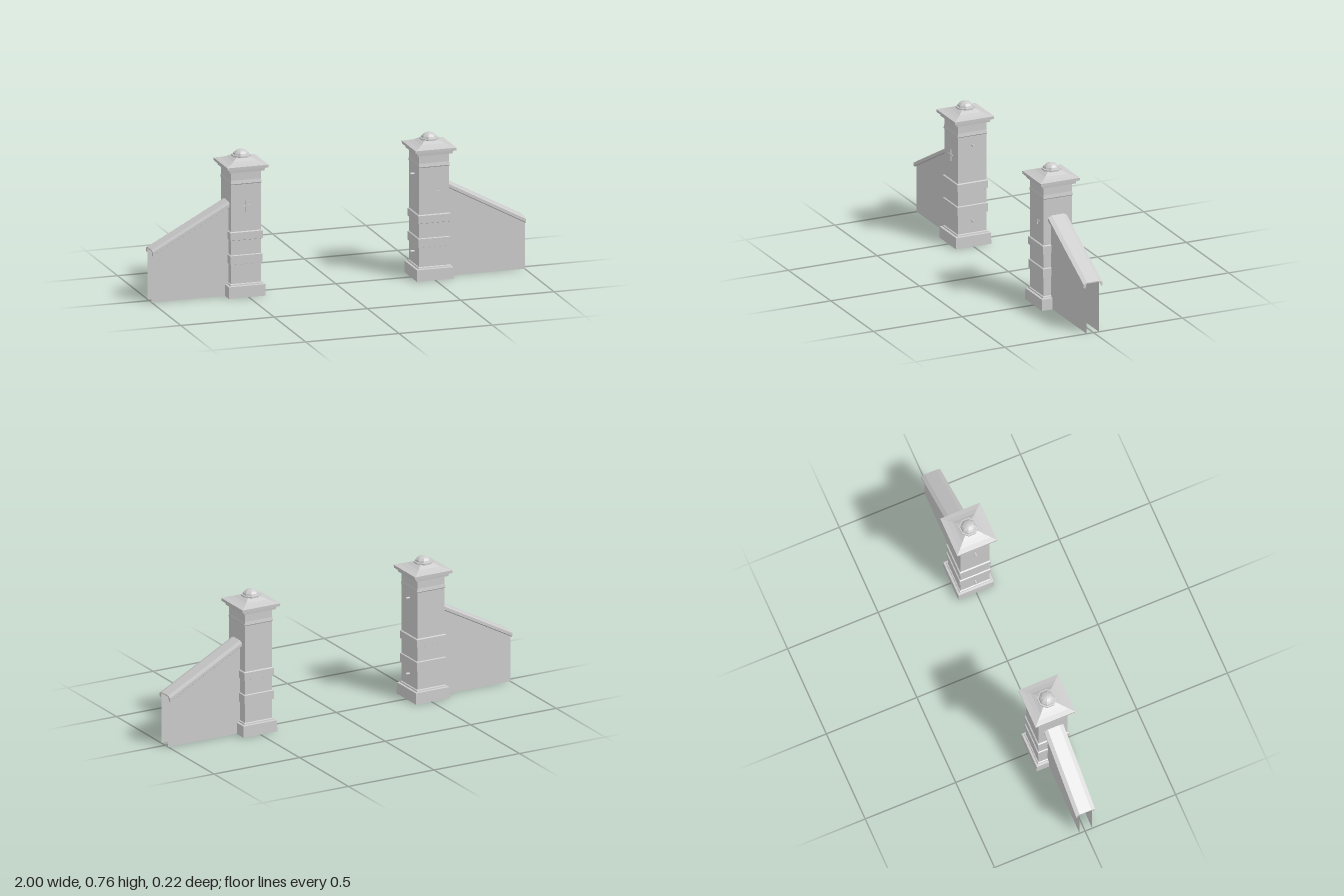
import * as THREE from 'three';

const stone = new THREE.MeshStandardMaterial({ color: 0xcccccc, flatShading: true, side: THREE.DoubleSide });

function add(parent, name, geometry, x = 0, y = 0, z = 0) {
  const mesh = new THREE.Mesh(geometry, stone);
  mesh.name = name;
  mesh.position.set(x, y, z);
  parent.add(mesh);
  return mesh;
}

// Profile of [half width, height] pairs swept round with flat sides
function turned(profile, sides) {
  const k = 1 / Math.cos(Math.PI / sides);
  const points = profile.map(([r, y]) => new THREE.Vector2(r * k, y));
  return new THREE.LatheGeometry(points, sides, Math.PI / sides);
}

// Lower end of a sloping part to its upper end: height lost per unit of x
const SLOPE = 0.536, INNER = 0.57, OUTER = 1;

function createPier() {
  const pier = new THREE.Group();
  pier.name = 'pier';

  // Hollow square shaft with plinth and two raised bands, open underneath
  add(pier, 'shaft', turned([
    [0.099, 0], [0.098, 0.06], [0.087, 0.062], [0.086, 0.068], [0.08, 0.071],
    [0.08, 0.171], [0.086, 0.173], [0.086, 0.219], [0.08, 0.222],
    [0.08, 0.298], [0.087, 0.301], [0.087, 0.341], [0.08, 0.345],
    [0.08, 0.592], [0.083, 0.596], [0.08, 0.615], [0.08, 0.655],
  ], 4));

  // Moulded capital and concave pyramid roof
  add(pier, 'cap', turned([
    [0.08, 0.655], [0.094, 0.658], [0.096, 0.675], [0.109, 0.676], [0.11, 0.691],
    [0.085, 0.698], [0.062, 0.707], [0.045, 0.717], [0.034, 0.722], [0, 0.722],
  ], 4));

  // Domed finial on a small disc
  add(pier, 'finial', turned([
    [0, 0.719], [0.046, 0.72], [0.046, 0.728], [0.039, 0.729], [0.036, 0.738],
    [0.026, 0.748], [0.012, 0.754], [0, 0.756],
  ], 8));

  // Small leaves on the four hips of the roof
  for (let i = 0; i < 4; i++) {
    const a = Math.PI / 4 + i * Math.PI / 2;
    const leaf = add(pier, 'capLeaf', new THREE.ConeGeometry(0.006, 0.03, 4),
      Math.cos(a) * 0.056, 0.716, Math.sin(a) * 0.056);
    leaf.rotation.set(0, -a, -Math.PI / 2 - 0.25);
  }

  // Gate pegs on the side facing the opening
  for (const y of [0.135, 0.543]) {
    const peg = add(pier, 'gatePeg', new THREE.CylinderGeometry(0.006, 0.006, 0.022, 8), -0.09, y, 0);
    peg.rotation.z = Math.PI / 2;
  }
  return pier;
}

function createWing() {
  const wing = new THREE.Group();
  wing.name = 'wingWall';

  // Two thin wall faces with a sloping top, open at the outer end
  const top = (x) => 0.27 + (OUTER - x) * SLOPE;
  const side = new THREE.Shape([
    new THREE.Vector2(INNER, 0), new THREE.Vector2(OUTER, 0),
    new THREE.Vector2(OUTER, top(OUTER)), new THREE.Vector2(INNER, top(INNER)),
  ]);
  add(wing, 'wallFront', new THREE.ShapeGeometry(side), 0, 0, 0.039);
  const back = new THREE.ShapeGeometry(side);
  back.scale(1, 1, -1);
  add(wing, 'wallBack', back, 0, 0, -0.03);

  // Coping: cross-section of [z, y] swept along x, then sheared to the slope
  const section = new THREE.Shape([
    [0.039, 0.27], [0.046, 0.245], [0.056, 0.25], [0.056, 0.267], [0.035, 0.275],
    [-0.03, 0.276], [-0.05, 0.267], [-0.05, 0.25], [-0.044, 0.245], [-0.03, 0.27],
  ].map(([z, y]) => new THREE.Vector2(-z, y)));
  const coping = new THREE.ExtrudeGeometry(section, { depth: OUTER - INNER, bevelEnabled: false });
  coping.rotateY(Math.PI / 2).translate(INNER, 0, 0);
  const p = coping.attributes.position;
  for (let i = 0; i < p.count; i++) p.setY(i, p.getY(i) + (OUTER - p.getX(i)) * SLOPE);
  coping.computeVertexNormals();
  add(wing, 'coping', coping);
  return wing;
}

export function createModel() {
  const model = new THREE.Group();
  model.name = 'gatePiers';

  for (const s of [1, -1]) {
    const half = new THREE.Group();
    half.name = s > 0 ? 'leftSide' : 'rightSide';
    const pier = createPier();
    pier.position.x = s > 0 ? 0.5 : 0.508;
    half.add(pier, createWing());
    half.scale.x = s;
    model.add(half);
  }

  // Small relief ornaments on the front faces
  const relief = (name, x, y, w, h) => add(model, name, new THREE.BoxGeometry(w, h, 0.008), x, y, 0.08);
  relief('crossBar', -0.508, 0.478, 0.046, 0.006);
  relief('crossStem', -0.508, 0.475, 0.006, 0.06);
  relief('bracketBar', 0.519, 0.462, 0.026, 0.006);
  relief('bracketStem', 0.51, 0.452, 0.006, 0.026);
  return model;
}
